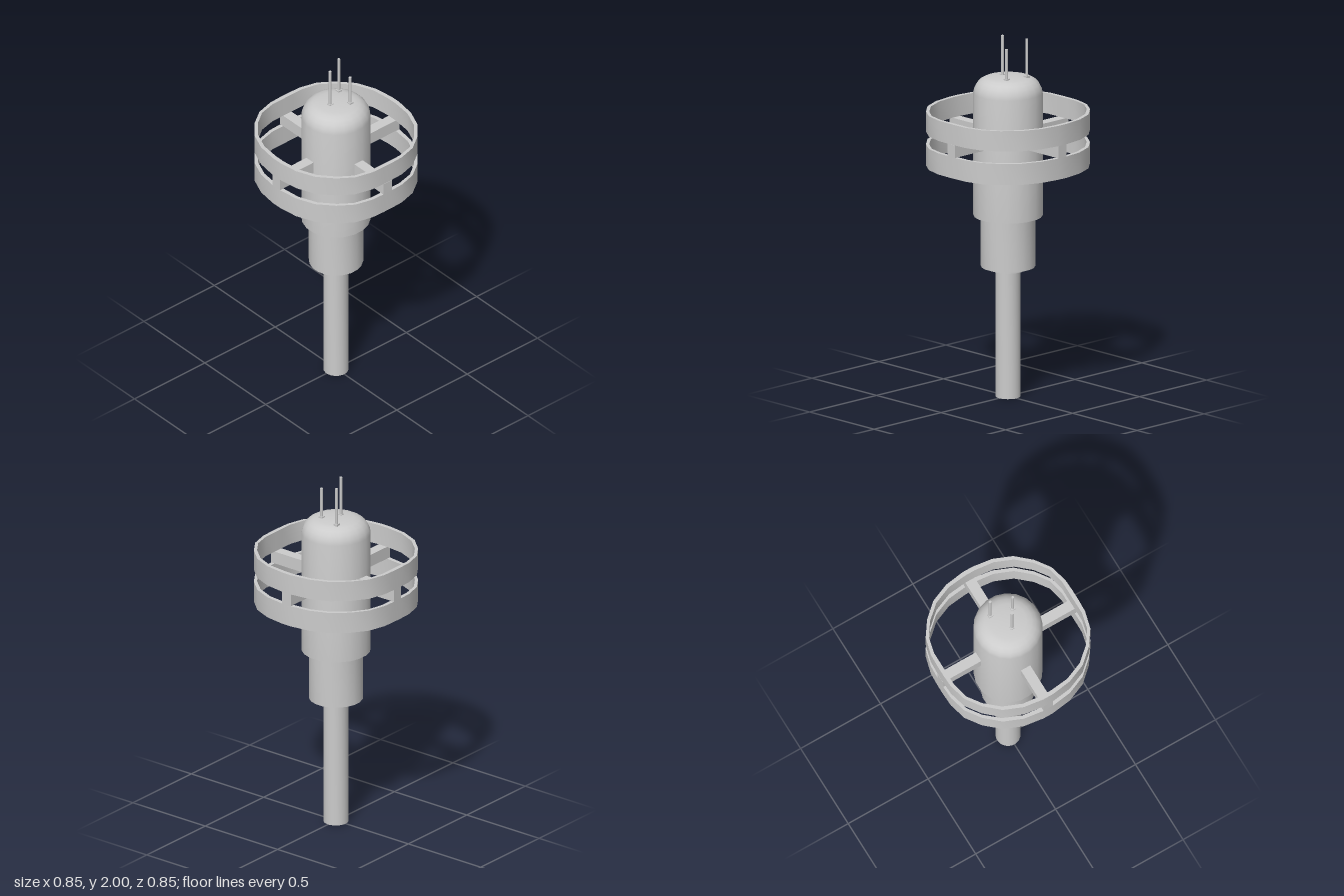
import * as THREE from 'three';
import { toCreasedNormals } from 'three/addons/utils/BufferGeometryUtils.js';

const material = new THREE.MeshStandardMaterial({ color: 0xcccccc });

function add(parent, name, geometry, x = 0, y = 0, z = 0) {
  const mesh = new THREE.Mesh(geometry, material);
  mesh.name = name;
  mesh.position.set(x, y, z);
  parent.add(mesh);
  return mesh;
}

// Turned part from [radius, height] pairs, bottom to top, flats facing the axes
function turned(profile, sides = 20) {
  const points = profile.map(([r, y]) => new THREE.Vector2(r, y));
  return toCreasedNormals(new THREE.LatheGeometry(points, sides, Math.PI / sides), 0.65);
}

// Mirror one quadrant of an outline into a closed counter-clockwise loop
function mirrorQuadrant(quadrant) {
  const half = [...quadrant, ...quadrant.map(([x, y]) => [-x, y]).reverse()];
  const loop = [...half, ...half.map(([x, y]) => [x, -y]).reverse()];
  return loop.map(([x, y]) => new THREE.Vector2(x, y));
}

function bandGeometry(height) {
  const outer = [[0.423, 0.03], [0.42, 0.105], [0.394, 0.204], [0.335, 0.288],
    [0.25, 0.364], [0.144, 0.408], [0.03, 0.424]];
  const inner = [[0.4, 0.03], [0.4, 0.105], [0.378, 0.198], [0.324, 0.274],
    [0.243, 0.345], [0.139, 0.388], [0.03, 0.4]];
  const shape = new THREE.Shape(mirrorQuadrant(outer));
  shape.holes.push(new THREE.Path(mirrorQuadrant(inner)));
  const geometry = new THREE.ExtrudeGeometry(shape, { depth: height, bevelEnabled: false });
  geometry.rotateX(-Math.PI / 2);
  return toCreasedNormals(geometry, 0.5);
}

export function createModel() {
  const model = new THREE.Group();
  model.name = 'ringedProbe';

  // Stem, collar and stepped housing
  add(model, 'stem', turned([[0, 0], [0.068, 0], [0.068, 0.71]]));
  add(model, 'collar', turned([[0, 0.705], [0.095, 0.705], [0.095, 0.73]]));
  add(model, 'lowerHousing', turned([[0, 0.725], [0.147, 0.725], [0.147, 1.02]]));
  add(model, 'upperHousing', turned([
    [0, 1.008], [0.187, 1.008], [0.187, 1.69], [0.182, 1.715], [0.17, 1.739],
    [0.152, 1.758], [0.129, 1.771], [0.1, 1.777], [0.05, 1.781], [0, 1.782],
  ]));

  // Guard ring: two bands joined by four posts, each carried on a spoke
  const guard = new THREE.Group();
  guard.name = 'guardRing';
  model.add(guard);
  add(guard, 'lowerBand', bandGeometry(0.118), 0, 1.29, 0);
  add(guard, 'upperBand', bandGeometry(0.113), 0, 1.477, 0);
  for (let i = 0; i < 4; i++) {
    const arm = new THREE.Group();
    arm.name = 'spokeArm';
    arm.rotation.y = i * Math.PI / 2;
    add(arm, 'spoke', new THREE.BoxGeometry(0.058, 0.069, 0.23), 0, 1.4425, 0.285);
    add(arm, 'post', new THREE.BoxGeometry(0.06, 0.069, 0.024), 0, 1.4425, 0.412);
    guard.add(arm);
  }

  // Contact pins with small footings
  for (const [x, z, top] of [[-0.066, -0.077, 1.99], [0.059, -0.05, 1.95], [0, 0.042, 2]]) {
    const length = top - 1.76;
    add(model, 'pin', new THREE.CylinderGeometry(0.008, 0.008, length, 10), x, top - length / 2, z);
    add(model, 'pinFooting', new THREE.BoxGeometry(0.025, 0.02, 0.025), x, 1.776, z);
  }
  return model;
}
